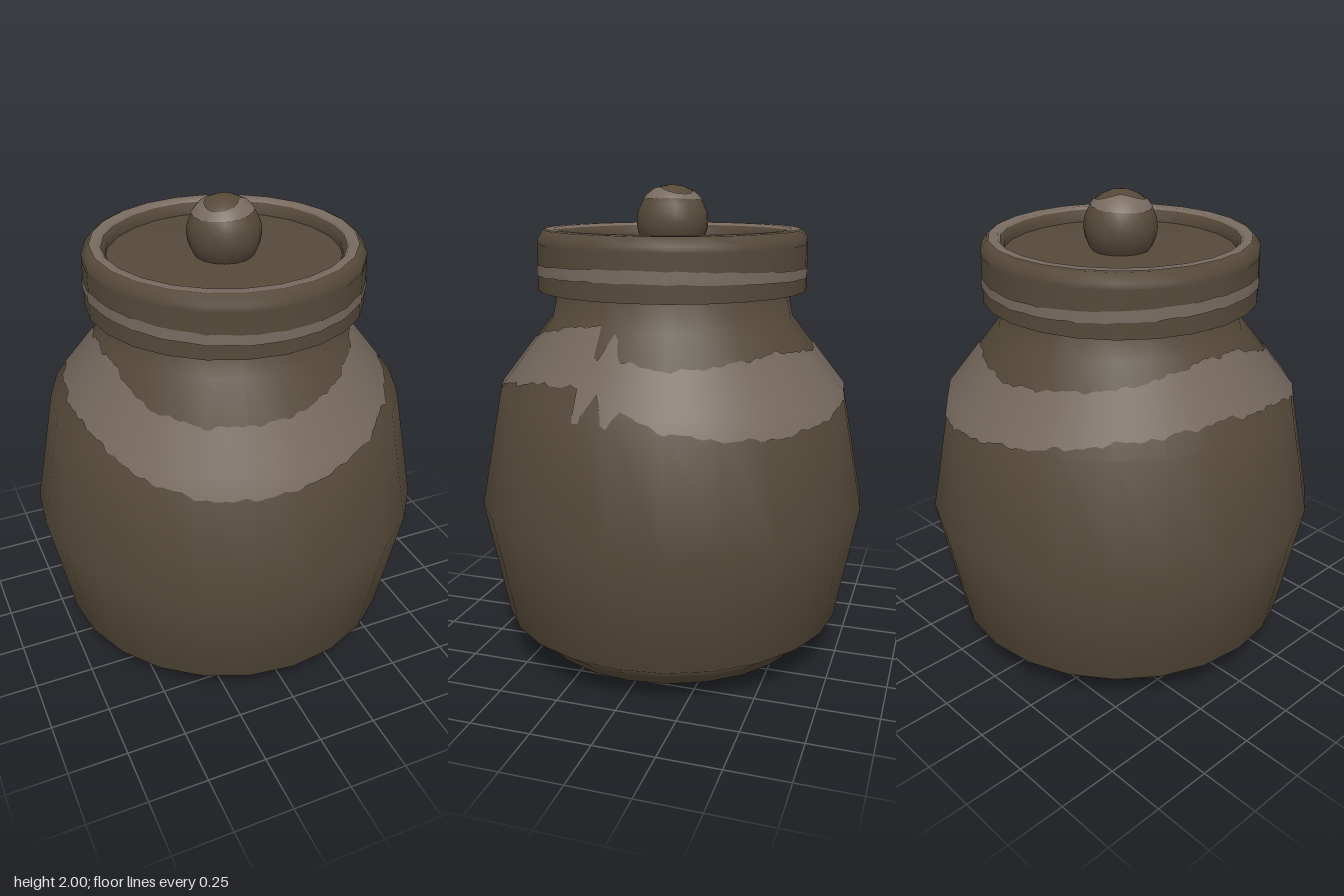
import * as THREE from 'three';

const v2 = ([x, y]) => new THREE.Vector2(x, y);

// Radius and smooth normal of a profile (rising in y) at height y
function sampleProfile(pts, y) {
  const seg = (i) => {
    const dx = pts[i + 1][0] - pts[i][0], dy = pts[i + 1][1] - pts[i][1], l = Math.hypot(dx, dy);
    return [dy / l, -dx / l];
  };
  const nodeNormal = (i) => {
    const a = seg(Math.max(0, i - 1)), b = seg(Math.min(pts.length - 2, i));
    const n = [a[0] + b[0], a[1] + b[1]], l = Math.hypot(...n);
    return [n[0] / l, n[1] / l];
  };
  let i = 0;
  while (i < pts.length - 2 && y > pts[i + 1][1]) i++;
  const t = (y - pts[i][1]) / (pts[i + 1][1] - pts[i][1]);
  const a = nodeNormal(i), b = nodeNormal(i + 1), mix = THREE.MathUtils.lerp;
  return { r: mix(pts[i][0], pts[i + 1][0], t), nr: mix(a[0], b[0], t), ny: mix(a[1], b[1], t) };
}

// Thin glaze skin that hugs a turned profile between two heights varying with angle
function glazeBand(pts, sides, steps, low, high) {
  const pos = [], nor = [], idx = [], rows = pts.length + 2, half = Math.PI / sides;
  for (let i = 0; i <= steps; i++) {
    const a = (i / steps) * Math.PI * 2, lo = low(a), hi = high(a);
    const facet = Math.cos(half) / Math.cos((a % (2 * half)) - half);
    const ys = [lo, ...pts.map((p) => Math.min(hi, Math.max(lo, p[1]))), hi];
    for (const y of ys) {
      const s = sampleProfile(pts, y);
      const r = s.r * facet + 0.004 * s.nr;
      pos.push(r * Math.sin(a), y + 0.004 * s.ny, r * Math.cos(a));
      nor.push(s.nr * Math.sin(a), s.ny, s.nr * Math.cos(a));
    }
  }
  for (let i = 0; i < steps; i++) {
    for (let j = 0; j < rows - 1; j++) {
      const a = i * rows + j, b = a + rows;
      idx.push(a, b, a + 1, b + 1, a + 1, b);
    }
  }
  const g = new THREE.BufferGeometry();
  g.setAttribute('position', new THREE.Float32BufferAttribute(pos, 3));
  g.setAttribute('normal', new THREE.Float32BufferAttribute(nor, 3));
  g.setIndex(idx);
  return g;
}

// Interpolates [degrees, value] keys around the full circle
function keyed(keys) {
  return (a) => {
    const d = (a * 180 / Math.PI) % 360;
    let i = 0;
    while (i < keys.length - 2 && d > keys[i + 1][0]) i++;
    const [d0, y0] = keys[i], [d1, y1] = keys[i + 1];
    return y0 + (y1 - y0) * (d - d0) / (d1 - d0);
  };
}

// Small repeatable roughness for the glaze edges
const rough = (a, size) => size * (Math.sin(a * 37) + Math.sin(a * 61 + 1) + Math.sin(a * 19 + 2)) / 2;

export function createModel() {
  const clay = new THREE.MeshStandardMaterial({ color: 0x554939 });
  clay.name = 'dark clay';
  const glaze = new THREE.MeshStandardMaterial({ color: 0x786b60 });
  glaze.name = 'pale glaze';

  const model = new THREE.Group();
  model.name = 'lidded jar';
  const lid = new THREE.Group();
  lid.name = 'lid';
  model.add(lid);
  const add = (parent, name, geometry, material) => {
    const mesh = new THREE.Mesh(geometry, material);
    mesh.name = name;
    parent.add(mesh);
  };
  const turned = (pts, sides = 24) => new THREE.LatheGeometry(pts.map(v2), sides);

  // Pot body with a stepped foot and a neck running up into the lid
  const side = [[0.6, 0.05], [0.61, 0.08], [0.735, 0.17], [0.83, 0.67], [0.735, 1.17], [0.51, 1.46], [0.48, 1.6]];
  add(model, 'body', turned([[0, 0], [0.51, 0], [0.55, 0.03], ...side]), clay);

  // Poured glaze around the shoulder, with a ragged overlap on the left side
  const lower = keyed([[0, 1.1], [24, 1.17], [38, 1.21], [60, 1.25], [75, 1.26], [77, 1.13], [79, 1.14],
    [82, 1.25], [84, 1.23], [87, 1.13], [89, 1.13], [91, 1.2], [95, 1.18], [105, 1.13], [120, 1.1],
    [140, 1.08], [160, 1.1], [180, 1.14], [225, 1.22], [260, 1.25], [293, 1.21], [317, 1.12], [336, 1.08], [360, 1.1]]);
  const upper = keyed([[0, 1.33], [20, 1.37], [40, 1.42], [60, 1.46], [75, 1.47], [77, 1.36], [79, 1.36],
    [82, 1.45], [84, 1.45], [87, 1.36], [105, 1.33], [120, 1.34], [150, 1.37], [180, 1.34],
    [225, 1.38], [262, 1.44], [285, 1.43], [308, 1.35], [330, 1.32], [360, 1.33]]);
  add(model, 'shoulderGlaze', glazeBand(side, 24, 192,
    (a) => lower(a) + rough(a, 0.008), (a) => upper(a) + rough(a + 2, 0.006)), glaze);

  // Lid: underside, outer wall, rounded rim and sunken top
  const wall = [[0.565, 1.575], [0.565, 1.765]];
  add(lid, 'lidUnderside', turned([[0, 1.575], [0.565, 1.575]]), clay);
  add(lid, 'lidWall', turned(wall), clay);
  add(lid, 'lidRim', turned([[0.562, 1.755], [0.565, 1.785], [0.54, 1.82], [0.495, 1.82], [0.47, 1.785], [0.475, 1.74]]), clay);
  add(lid, 'lidTop', turned([[0.5, 1.72], [0.5, 1.76], [0, 1.76]]), clay);

  // Glaze lines on the lid wall and along the rim
  add(lid, 'lidWallGlaze', glazeBand(wall, 24, 96,
    (a) => 1.64 - 0.008 * Math.cos(2 * a) + rough(a, 0.002),
    (a) => 1.685 - 0.012 * Math.cos(2 * a) + rough(a + 1, 0.002)), glaze);
  add(lid, 'rimGlaze', turned([[0.532, 1.823], [0.495, 1.823], [0.485, 1.811]]), glaze);

  // Round knob with a swirl of glaze near its top
  const ball = [];
  for (let i = 0; i <= 12; i++) {
    const t = (i / 12) * Math.PI;
    ball.push([0.15 * Math.sin(t), 1.85 - 0.15 * Math.cos(t)]);
  }
  add(lid, 'knob', turned(ball, 16), clay);
  add(lid, 'knobGlaze', glazeBand(ball, 16, 64,
    (a) => 1.935 + 0.008 * Math.sin(a) + rough(a, 0.002),
    (a) => 1.973 - 0.013 * Math.cos(2 * (a - 2.4))), glaze);

  return model;
}
